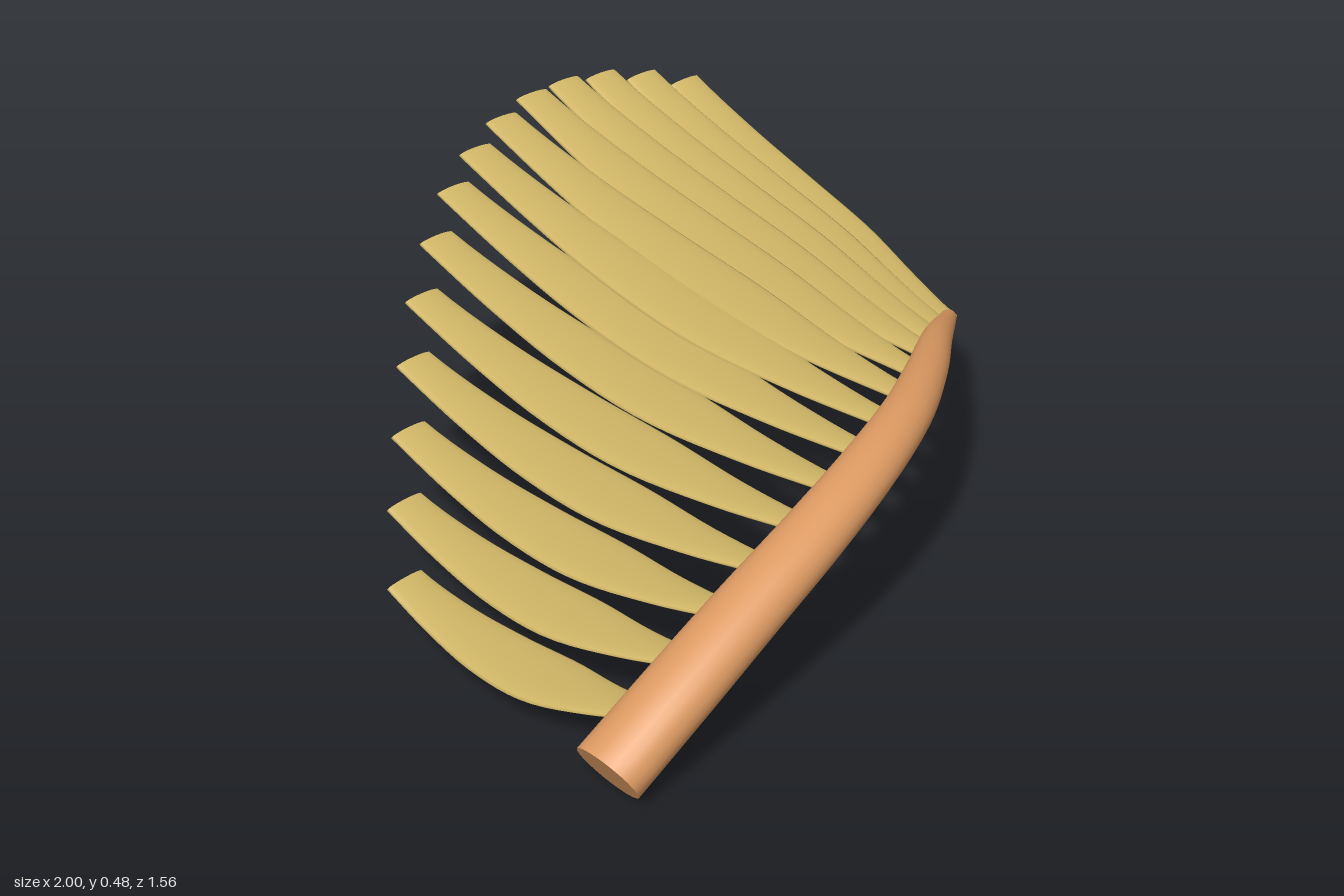
import * as THREE from 'three';

const V = (x, y, z) => new THREE.Vector3(x, y, z);

// Sweeps a capped elliptical section along a curve; size(t) gives [half width, half thickness].
function sweep(curve, steps, sides, size) {
  const pos = [], index = [];
  const up = V(0, 1, 0);
  const ring = (t) => {
    const c = curve.getPointAt(t), T = curve.getTangentAt(t);
    const S = T.clone().cross(up).normalize(), N = S.clone().cross(T);
    const [w, h] = size(t);
    for (let j = 0; j < sides; j++) {
      const a = (j / sides) * Math.PI * 2;
      const p = c.clone().addScaledVector(S, Math.cos(a) * w).addScaledVector(N, Math.sin(a) * h);
      pos.push(p.x, p.y, p.z);
    }
    return c;
  };
  for (let i = 0; i <= steps; i++) ring(i / steps);
  for (let i = 0; i < steps; i++) {
    for (let j = 0; j < sides; j++) {
      const k = (j + 1) % sides;
      const a = i * sides + j, b = i * sides + k, c = a + sides, d = b + sides;
      index.push(a, c, b, b, c, d);
    }
  }
  // flat end caps with their own vertices
  for (const t of [0, 1]) {
    const base = pos.length / 3;
    const c = ring(t);
    pos.push(c.x, c.y, c.z);
    for (let j = 0; j < sides; j++) {
      const p = base + j, q = base + ((j + 1) % sides);
      if (t === 0) index.push(base + sides, p, q);
      else index.push(base + sides, q, p);
    }
  }
  const g = new THREE.BufferGeometry();
  g.setAttribute('position', new THREE.Float32BufferAttribute(pos, 3));
  g.setIndex(index);
  g.computeVertexNormals();
  return g;
}

export function createModel() {
  const wing = new THREE.Group();
  wing.name = 'wing';
  const boneMat = new THREE.MeshStandardMaterial({ color: 0xdd9a62 });
  boneMat.name = 'wing bone orange';
  const featherMat = new THREE.MeshStandardMaterial({ color: 0xcfb566 });
  featherMat.name = 'feather straw';

  // Arched, tapering leading bone
  const bone = new THREE.CatmullRomCurve3([
    V(-0.97, 0.055, 0.65), V(-0.8, 0.15, 0.678), V(-0.6, 0.24, 0.698), V(-0.4, 0.31, 0.708),
    V(-0.2, 0.357, 0.697), V(0, 0.371, 0.655), V(0.2, 0.35, 0.575), V(0.4, 0.302, 0.474), V(0.655, 0.2, 0.347),
  ]);
  const boneMesh = new THREE.Mesh(sweep(bone, 48, 24, (t) => {
    const r = 0.08 - 0.061 * t ** 1.6;
    return [r, r * (0.77 + 0.2 * t * t)];
  }), boneMat);
  boneMesh.name = 'leadingBone';
  wing.add(boneMesh);

  // Point on the bone at a given x
  const boneAt = (x) => {
    let lo = 0, hi = 1;
    for (let k = 0; k < 30; k++) {
      const m = (lo + hi) / 2;
      if (bone.getPointAt(m).x < x) lo = m; else hi = m;
    }
    return bone.getPointAt(lo);
  };

  // Feather tips, from the thick end of the bone to its thin end
  const tips = [
    [-0.81, 0.13, 0.003], [-0.67, 0.195, -0.12], [-0.52, 0.25, -0.24], [-0.365, 0.305, -0.362],
    [-0.21, 0.355, -0.473], [-0.05, 0.4, -0.57], [0.105, 0.437, -0.652], [0.255, 0.457, -0.715],
    [0.4, 0.47, -0.758], [0.535, 0.476, -0.777], [0.65, 0.47, -0.772], [0.76, 0.455, -0.746],
    [0.86, 0.432, -0.697], [0.948, 0.403, -0.632],
  ];
  // Half width along a feather: narrow root, broad middle, blunt tip
  const widths = new THREE.SplineCurve([
    [0, 0.026], [0.2, 0.054], [0.45, 0.081], [0.7, 0.077], [0.88, 0.061], [1, 0.047],
  ].map(([x, y]) => new THREE.Vector2(x, y)));

  tips.forEach((p, i) => {
    const f = i / (tips.length - 1);
    const root = boneAt(-0.84 + 1.48 * f), tip = V(...p);
    // sagging middle, bowed outward toward the thin end of the bone
    const mid = root.clone().lerp(tip, 0.5).add(V(0.085 * f * f - 0.02, -0.11 - 0.02 * f, 0));
    const curve = new THREE.QuadraticBezierCurve3(root, mid, tip);
    const geo = sweep(curve, 24, 16, (t) => [widths.getPoint(t).y, 0.009]);
    const mesh = new THREE.Mesh(geo, featherMat);
    mesh.name = `feather${i + 1}`;
    wing.add(mesh);
  });
  return wing;
}
